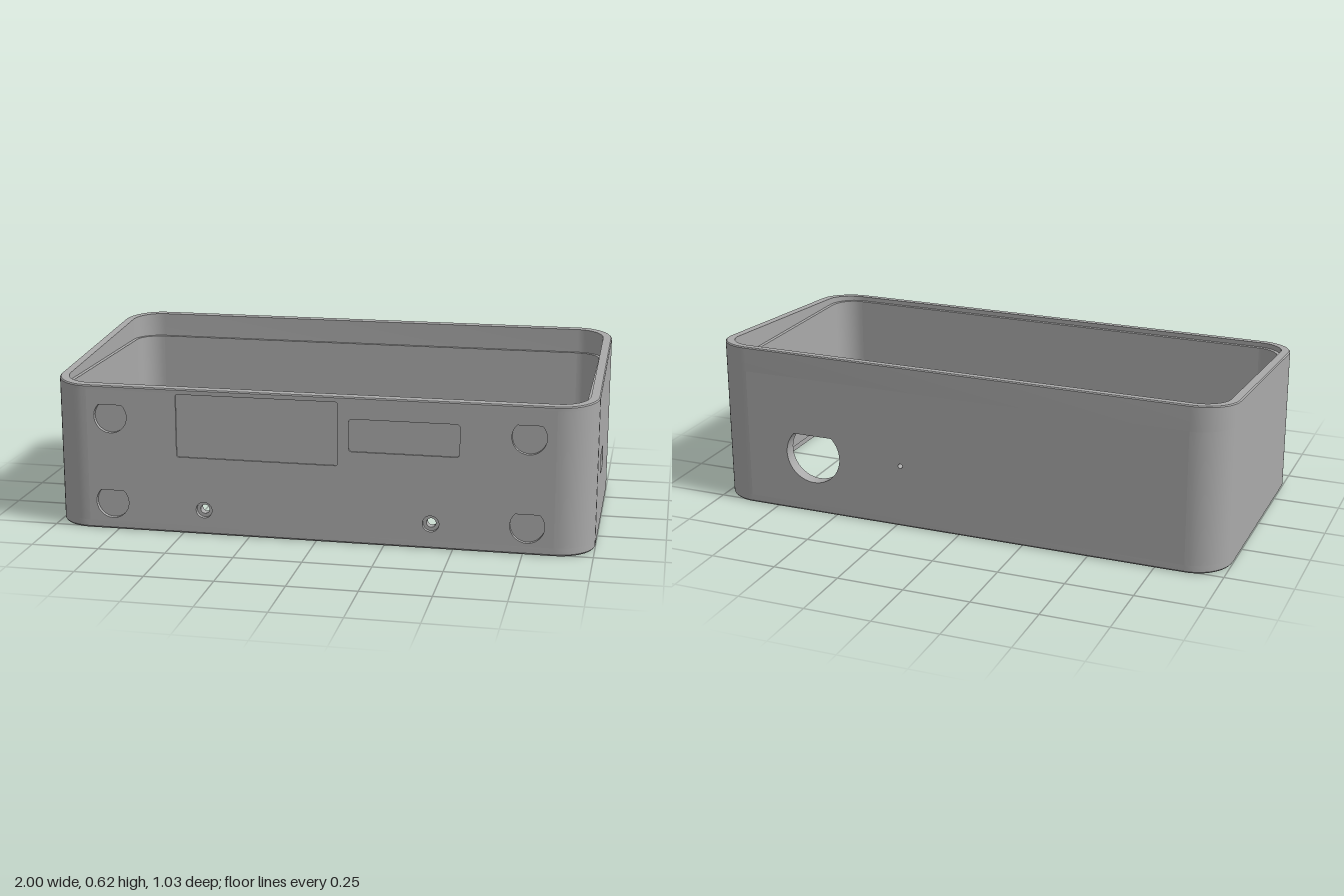
import * as THREE from 'three';
import { toCreasedNormals } from 'three/addons/utils/BufferGeometryUtils.js';

const HX = 1, HZ = 0.515, R = 0.14;      // half sizes and corner radius
const LOW = 0.03, HIGH = 0.53;           // ledge heights
const WALL = 0.048, RIM = 0.034;         // wall and rim thickness
const SEG = 12;

const grey = new THREE.MeshStandardMaterial({ color: 0xaaaaaa });
grey.name = 'grey plastic';

// sloping top edge, higher at the back
const topY = (z) => 0.545 + 0.08 * (HZ - z) / (2 * HZ);

// rounded rectangle loop, inset from the outside
function loop(inset, y) {
  const pts = [];
  [[1, 1], [-1, 1], [-1, -1], [1, -1]].forEach(([sx, sz], q) => {
    for (let i = 0; i <= SEG; i++) {
      const a = (q + i / SEG) * Math.PI / 2;
      const x = sx * (HX - R) + (R - inset) * Math.cos(a);
      const z = sz * (HZ - R) + (R - inset) * Math.sin(a);
      pts.push([x, typeof y === 'function' ? y(z) : y, z]);
    }
  });
  return pts;
}

// joins loops; cornersOnly leaves the straight sides open for the wall panels
function loft(rows, cornersOnly = false) {
  const pos = [];
  for (let r = 0; r + 1 < rows.length; r++) {
    const a = rows[r], b = rows[r + 1], n = a.length;
    for (let k = 0; k < n; k++) {
      if (cornersOnly && k % (SEG + 1) === SEG) continue;
      const j = (k + 1) % n;
      pos.push(...a[k], ...b[k], ...b[j], ...a[k], ...b[j], ...a[j]);
    }
  }
  const g = new THREE.BufferGeometry();
  g.setAttribute('position', new THREE.Float32BufferAttribute(pos, 3));
  return toCreasedNormals(g, 0.5);
}

function circle(x, y, r) {
  return new THREE.Path().absarc(x, y, r, 0, Math.PI * 2, false);
}

// circle with a right-angled point at the top
function drop(x, y, r) {
  const p = new THREE.Path();
  p.moveTo(x, y + r * Math.SQRT2);
  p.absarc(x, y, r, Math.PI * 0.75, Math.PI * 2.25, false);
  p.closePath();
  return p;
}

function roundRect(x0, y0, x1, y1, r) {
  const p = new THREE.Path();
  p.absarc(x1 - r, y0 + r, r, -Math.PI / 2, 0, false);
  p.absarc(x1 - r, y1 - r, r, 0, Math.PI / 2, false);
  p.absarc(x0 + r, y1 - r, r, Math.PI / 2, Math.PI, false);
  p.absarc(x0 + r, y0 + r, r, Math.PI, Math.PI * 1.5, false);
  p.closePath();
  return p;
}

// flat wall made of layers, each [outer depth, inner depth, holes]
function wall(name, half, dist, turn, layers) {
  const group = new THREE.Group();
  group.name = name;
  for (const [outer, inner, holes] of layers) {
    const s = new THREE.Shape();
    s.moveTo(-half, LOW);
    s.lineTo(half, LOW);
    s.lineTo(half, HIGH);
    s.lineTo(-half, HIGH);
    s.closePath();
    s.holes = holes;
    const g = new THREE.ExtrudeGeometry(s, { depth: inner - outer, bevelEnabled: false, curveSegments: 20 });
    g.translate(0, 0, dist - inner);
    const m = new THREE.Mesh(toCreasedNormals(g, 0.5), grey);
    m.name = name + 'Layer';
    group.add(m);
  }
  group.rotation.y = turn;
  return group;
}

export function createModel() {
  const model = new THREE.Group();
  model.name = 'enclosureFrame';
  const add = (name, geometry) => {
    const m = new THREE.Mesh(geometry, grey);
    m.name = name;
    model.add(m);
  };

  // rims with a rebate inside, for the lid and the base plate
  add('topRim', loft([
    loop(0, HIGH), loop(0, (z) => topY(z) - 0.004), loop(0.004, topY),
    loop(RIM, topY), loop(RIM, HIGH), loop(WALL, HIGH),
  ]));
  add('bottomRim', loft([
    loop(WALL, LOW), loop(RIM, LOW), loop(RIM, 0),
    loop(0.005, 0), loop(0, 0.006), loop(0, LOW),
  ]));

  // rounded corners
  add('outerCorners', loft([loop(0, LOW), loop(0, HIGH)], true));
  add('innerCorners', loft([loop(WALL, HIGH), loop(WALL, LOW)], true));

  // front wall: two shallow panels, four drop recesses, two stepped screw holes
  const screws = (r) => [-0.42, 0.42].map((x) => circle(x, 0.093, r));
  const drops = () => [-0.77, 0.765].flatMap((x) => [0.43, 0.105].map((y) => drop(x, y, 0.062)));
  const panels = [
    roundRect(-0.52, 0.29, 0.08, 0.525, 0.008),
    roundRect(0.12, 0.345, 0.52, 0.465, 0.012),
  ];
  model.add(wall('frontWall', HX - R, HZ, 0, [
    [0, 0.006, [...panels, ...drops(), ...screws(0.03)]],
    [0.006, 0.016, [...drops(), ...screws(0.03)]],
    [0.016, WALL, screws(0.017)],
  ]));

  // back wall: drop opening and a pin hole
  model.add(wall('backWall', HX - R, HZ, Math.PI, [
    [0, WALL, [drop(-0.59, 0.23, 0.11), circle(-0.23, 0.24, 0.009)]],
  ]));

  // side walls, one with a socket opening
  model.add(wall('leftWall', HZ - R, HX, Math.PI / 2, [
    [0, 0.006, [roundRect(-0.19, 0.215, -0.055, 0.298, 0.02)]],
    [0.006, WALL, [roundRect(-0.186, 0.219, -0.059, 0.294, 0.017)]],
  ]));
  model.add(wall('rightWall', HZ - R, HX, -Math.PI / 2, [[0, WALL, []]]));

  return model;
}
